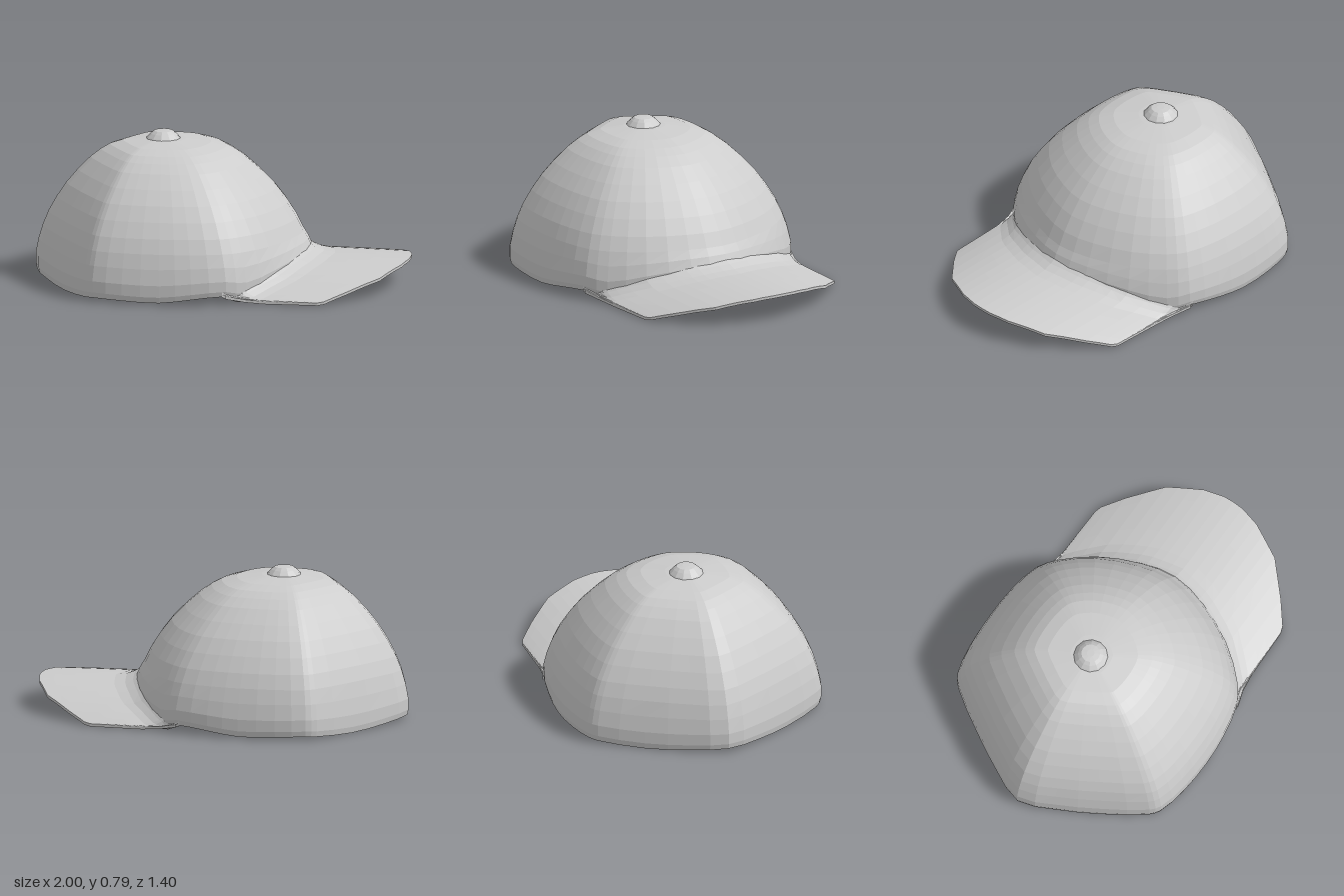
import * as THREE from 'three';

const fabric = new THREE.MeshStandardMaterial({ color: 0xcccccc, flatShading: true, side: THREE.DoubleSide });
fabric.name = 'grey fabric';

// Piecewise linear lookup in a list of [input, output] pairs
function lookup(table, v) {
  for (let i = 1; i < table.length; i++) {
    const [a, p] = table[i - 1], [b, q] = table[i];
    if (v <= b) return p + (q - p) * (v - a) / (b - a);
  }
  return table[table.length - 1][1];
}

// Skin a list of closed cross-sections
function loft(rows, name) {
  const n = rows[0].length, index = [];
  for (let i = 0; i < rows.length - 1; i++) {
    for (let j = 0; j < n; j++) {
      const a = i * n + j, b = i * n + (j + 1) % n;
      index.push(a, a + n, b, b, a + n, b + n);
    }
  }
  const geo = new THREE.BufferGeometry();
  geo.setAttribute('position', new THREE.Float32BufferAttribute(rows.flat(2), 3));
  geo.setIndex(index);
  geo.computeVertexNormals();
  const mesh = new THREE.Mesh(geo, fabric);
  mesh.name = name;
  return mesh;
}

const CX = -0.32; // crown centre

// Six-panel crown: rim outline (x, rim height, z) scaled up a dome profile
function makeCrown() {
  const half = [
    [0.47, 0.15, 0], [0.43, 0.135, 0.2], [0.33, 0.085, 0.42], [0.2, 0.03, 0.58],
    [0.1, 0.055, 0.65], [-0.08, 0.04, 0.69], [-0.25, 0.02, 0.7], [-0.45, 0.025, 0.69],
    [-0.61, 0.03, 0.655], [-0.66, 0.025, 0.615], [-0.8, 0.01, 0.4], [-0.92, 0.02, 0.19], [-1, 0.035, 0],
  ];
  const mirrored = half.slice(1, -1).reverse().map(([x, y, z]) => [x, y, -z]);
  const control = [...half, ...mirrored].map((p) => new THREE.Vector3(...p));
  const curve = new THREE.CatmullRomCurve3(control, true);
  const count = control.length * 2;
  const rim = Array.from({ length: count }, (_, i) => curve.getPoint(i / count));

  const ring = (s, h, drop = 0) => rim.map((p) => {
    const y = h + (p.y - 0.03) * Math.max(0, 1 - (h - 0.03) / 0.25);
    return [CX + (p.x - CX) * s, y - drop, p.z * s];
  });
  const profile = [
    [0.99, 0.03], [1, 0.06], [1, 0.12], [0.977, 0.2], [0.945, 0.275], [0.9, 0.35], [0.835, 0.43],
    [0.76, 0.507], [0.67, 0.58], [0.57, 0.65], [0.49, 0.693], [0.42, 0.722], [0.32, 0.745], [0.15, 0.76], [0.005, 0.765],
  ];
  const outer = profile.map(([s, h]) => ring(s, h));
  const inner = profile.map(([s, h], i) => ring(s * 0.975, h, i ? 0.015 : 0)).reverse();
  return loft([...inner, ...outer], 'crown');
}

// Arched brim: constant-z slices from the crown front to the curved edge
function makeBrim() {
  const innerX = [[0, 0.46], [0.2, 0.42], [0.42, 0.32], [0.58, 0.19], [0.655, 0.08]];
  const outerX = [[0, 1], [0.06, 0.997], [0.17, 0.97], [0.35, 0.88], [0.5, 0.72], [0.585, 0.615], [0.597, 0.58], [0.605, 0.3], [0.62, 0.2], [0.655, 0.1]];
  const side = [0.06, 0.12, 0.17, 0.23, 0.29, 0.35, 0.42, 0.5, 0.55, 0.585, 0.597, 0.605, 0.62, 0.655];
  const stations = [...side.map((z) => -z).reverse(), 0, ...side];
  const steps = [0, 0.06, 0.14, 0.25, 0.45, 0.65, 0.85, 0.97, 1];

  const rows = stations.map((z) => {
    const a = Math.abs(z), x0 = lookup(innerX, a), x1 = lookup(outerX, a);
    const point = (u, thickness) => {
      const fillet = 0.045 * Math.max(0, 1 - u / 0.25) ** 2 * (thickness ? 0 : 1);
      const lift = Math.max(0, a - 0.6) * 1.1;
      return [x0 + (x1 - x0) * u, 0.167 - 0.375 * z * z - 0.008 * u * u + fillet + lift - thickness, z];
    };
    return [...steps.map((u) => point(u, 0)), ...[...steps].reverse().map((u) => point(u, 0.015))];
  });
  return loft(rows, 'brim');
}

// Domed button on top
function makeButton() {
  const points = [[0.1, 0.75], [0.085, 0.768], [0.068, 0.786], [0.05, 0.8], [0.02, 0.803], [0, 0.803]]
    .map(([r, y]) => new THREE.Vector2(r, y));
  const mesh = new THREE.Mesh(new THREE.LatheGeometry(points, 12), fabric);
  mesh.position.x = CX;
  mesh.name = 'topButton';
  return mesh;
}

export function createModel() {
  const cap = new THREE.Group();
  cap.name = 'cap';
  cap.add(makeCrown(), makeBrim(), makeButton());
  return cap;
}
